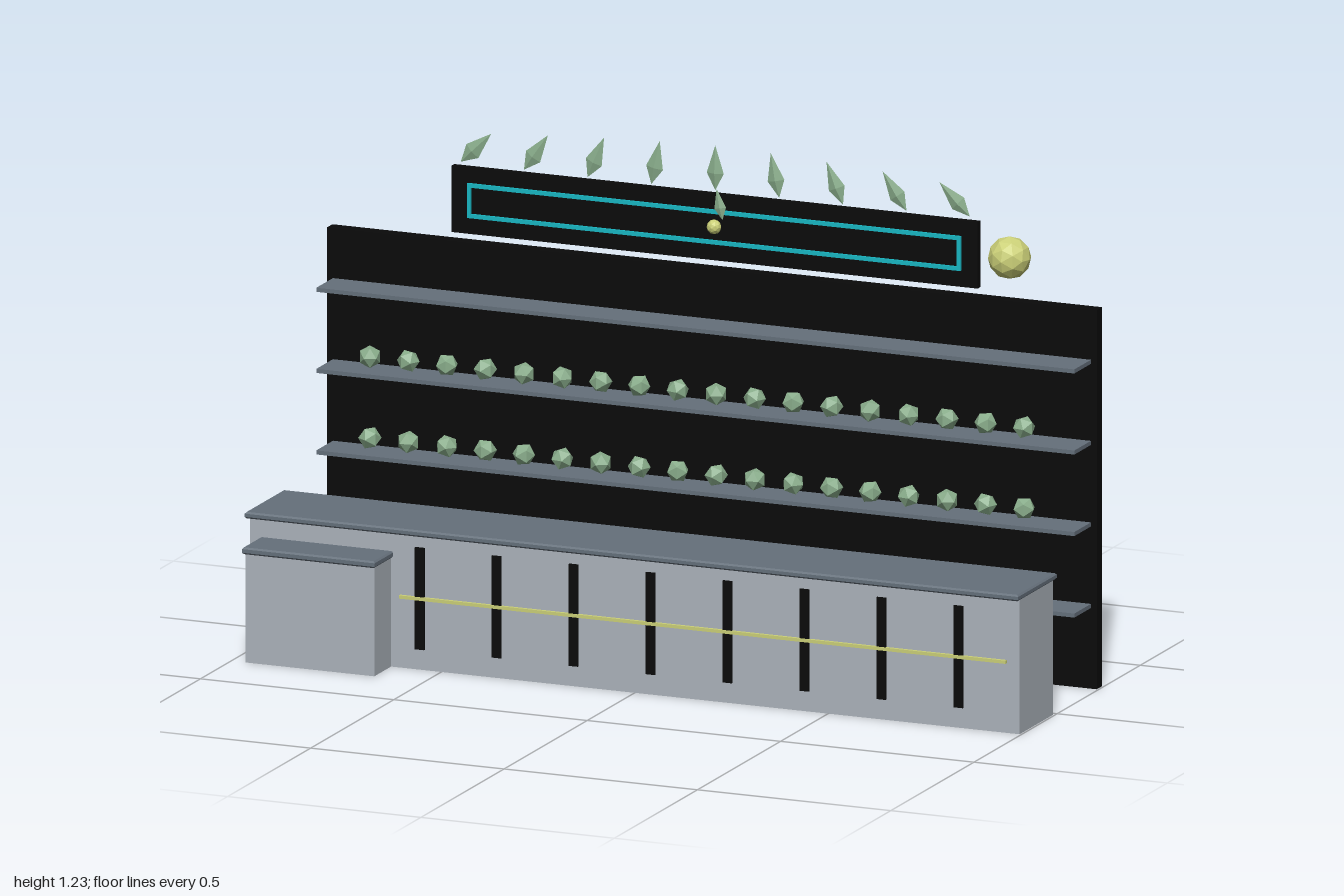
import * as THREE from 'three';

const mat = (name, color, flatShading = false) => {
  const m = new THREE.MeshStandardMaterial({ color, flatShading });
  m.name = name;
  return m;
};

export function createModel() {
  const group = new THREE.Group();
  const black = mat('black panel', 0x0a0a0a);
  const stone = mat('pale stone', 0xacb3bb);
  const slate = mat('slate', 0x65707b);
  const cyan = mat('cyan trim', 0x18b8c4);
  const gold = mat('soft gold', 0xcbd078, true);
  const green = mat('sage green', 0x8aae8c, true);

  const add = (name, geometry, material, x = 0, y = 0, z = 0) => {
    const mesh = new THREE.Mesh(geometry, material);
    mesh.name = name;
    mesh.position.set(x, y, z);
    group.add(mesh);
    return mesh;
  };
  // Box given by its minimum and maximum on each axis
  const box = (name, material, [x0, x1], [y0, y1], [z0, z1]) =>
    add(name, new THREE.BoxGeometry(x1 - x0, y1 - y0, z1 - z0), material,
      (x0 + x1) / 2, (y0 + y1) / 2, (z0 + z1) / 2);
  // Slab with a small chamfer all round
  const slab = (name, [x0, x1], [y0, y1], [z0, z1]) => {
    const c = 0.004, w = (x1 - x0) / 2 - c, d = (z1 - z0) / 2 - c;
    const shape = new THREE.Shape([[-w, -d], [w, -d], [w, d], [-w, d]].map(p => new THREE.Vector2(...p)));
    const geo = new THREE.ExtrudeGeometry(shape, {
      depth: y1 - y0 - 2 * c, bevelEnabled: true, bevelThickness: c, bevelSize: c, bevelSegments: 1,
    });
    geo.rotateX(-Math.PI / 2);
    add(name, geo, slate, (x0 + x1) / 2, y0 + c, (z0 + z1) / 2);
  };

  // Back wall and shelves
  box('backWall', black, [-0.995, 0.995], [0, 0.93], [-0.282, -0.25]);
  for (const y of [0.203, 0.403, 0.603, 0.802])
    box('shelf', slate, [-0.98, 0.98], [y - 0.005, y + 0.005], [-0.25, -0.15]);

  // Faceted goods on the three lower shelves
  const good = new THREE.IcosahedronGeometry(0.028, 0);
  [0.24, 0.439, 0.638].forEach((y, row) => {
    for (let i = 0; i < 18; i++)
      add('shelfItem', good, green, -0.863 + i * 0.0995, y, -0.2).rotation.y = i * 0.7 + row;
  });

  // Main counter
  box('counterBody', stone, [-0.995, 0.995], [0, 0.333], [0.013, 0.214]);
  slab('counterTop', [-1, 1], [0.33, 0.346], [0.002, 0.234]);
  for (let i = 0; i < 8; i++) {
    const x = -0.555 + i * 0.199;
    box('counterSlat', black, [x - 0.012, x + 0.012], [0.05, 0.3], [0.212, 0.219]);
  }
  box('counterRail', gold, [-0.606, 0.962], [0.171, 0.179], [0.214, 0.222]);

  // Lower side counter
  box('sideCounterBody', stone, [-0.963, -0.63], [0, 0.27], [0.212, 0.315]);
  slab('sideCounterTop', [-0.968, -0.625], [0.267, 0.284], [0.212, 0.325]);

  // Sign board with glowing frame
  box('signBoard', black, [-0.68, 0.68], [0.947, 1.11], [-0.282, -0.266]);
  for (const y of [0.992, 1.067])
    box('signFrameBar', cyan, [-0.638, 0.638], [y - 0.005, y + 0.005], [-0.267, -0.26]);
  for (const x of [-0.633, 0.633])
    box('signFramePost', cyan, [x - 0.005, x + 0.005], [0.992, 1.067], [-0.267, -0.26]);

  // Leaves: octahedron stretched into a thin kite, widest near the base
  const leafGeometry = (s) => {
    const geo = new THREE.OctahedronGeometry(1, 0);
    const p = geo.attributes.position;
    for (let i = 0; i < p.count; i++) {
      const y = p.getY(i);
      p.setXYZ(i, p.getX(i) * 0.022 * s, y * (y > 0 ? 0.068 : 0.042) * s, p.getZ(i) * 0.007 * s);
    }
    geo.computeVertexNormals();
    return geo;
  };
  const leaf = leafGeometry(1);
  for (let i = -4; i <= 4; i++)
    add('crownLeaf', leaf, green, i * 0.157, 1.16 - 0.0025 * Math.abs(i), -0.27).rotation.z = i * 0.2;

  // Emblem on the sign: small fruit and leaf
  add('signFruit', new THREE.IcosahedronGeometry(0.018, 1), gold, 0, 1.03, -0.263);
  add('signLeaf', leafGeometry(0.7), green, 0.02, 1.08, -0.253).rotation.z = 0.2;

  // Large fruit beside the sign
  add('largeFruit', new THREE.IcosahedronGeometry(0.052, 1), gold, 0.76, 1.03, -0.272);

  return group;
}
